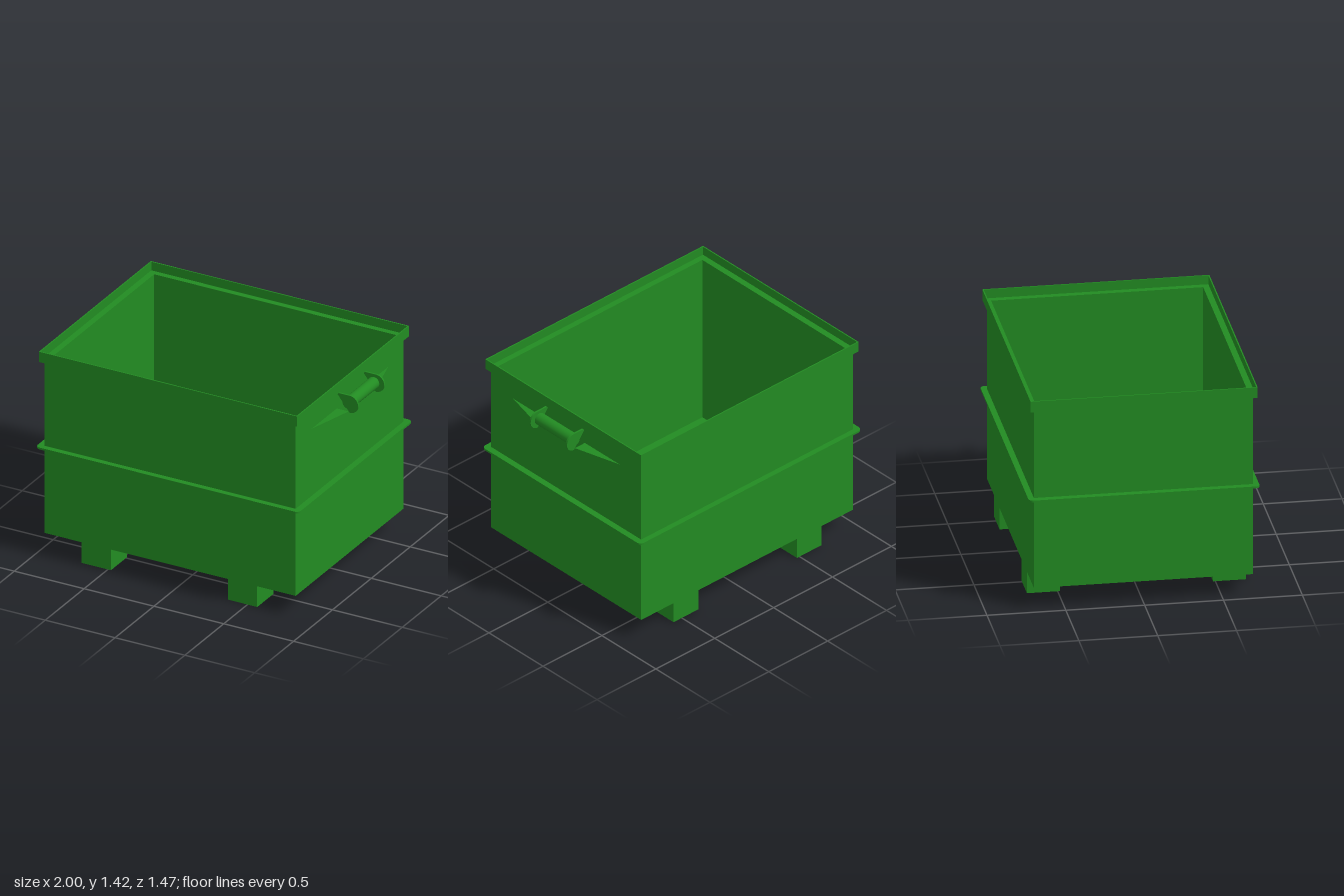
import * as THREE from 'three';

const green = new THREE.MeshStandardMaterial({ color: 0x228b22, side: THREE.DoubleSide });
const CX = -0.055; // centre of the tub, offset by the handle
const WALL_X = 0.845; // outer face of the handle-side wall

// Rectangle outline with optional rounded corners
function rect(path, w, d, r = 0) {
  const x = w / 2, y = d / 2;
  if (!r) {
    path.moveTo(-x, -y).lineTo(x, -y).lineTo(x, y).lineTo(-x, y).closePath();
    return path;
  }
  path.moveTo(-x + r, -y);
  path.absarc(x - r, -y + r, r, -Math.PI / 2, 0);
  path.absarc(x - r, y - r, r, 0, Math.PI / 2);
  path.absarc(-x + r, y - r, r, Math.PI / 2, Math.PI);
  path.absarc(-x + r, -y + r, r, Math.PI, Math.PI * 1.5);
  path.closePath();
  return path;
}

export function createModel() {
  const model = new THREE.Group();
  model.name = 'skipBin';

  function add(name, geometry, x, y, z, parent = model) {
    const mesh = new THREE.Mesh(geometry, green);
    mesh.name = name;
    mesh.position.set(x, y, z);
    parent.add(mesh);
    return mesh;
  }

  // Hollow rectangular frame, lying flat from y0 to y1
  function frame(name, w, d, innerW, innerD, y0, y1, r = 0) {
    const shape = rect(new THREE.Shape(), w, d, r);
    shape.holes.push(rect(new THREE.Path(), innerW, innerD));
    const geo = new THREE.ExtrudeGeometry(shape, { depth: y1 - y0, bevelEnabled: false, curveSegments: 6 });
    geo.rotateX(-Math.PI / 2);
    return add(name, geo, CX, y0, 0);
  }

  // Tub: walls, floor, turned-out ledge, upright rim and middle stiffener
  frame('walls', 1.8, 1.39, 1.75, 1.345, 0.145, 1.35);
  add('floor', new THREE.BoxGeometry(1.8, 0.02, 1.39), CX, 0.155, 0);
  frame('rimLedge', 1.85, 1.44, 1.75, 1.345, 1.348, 1.36);
  frame('rim', 1.85, 1.44, 1.834, 1.424, 1.348, 1.42);
  frame('stiffeningBand', 1.885, 1.465, 1.79, 1.38, 0.743, 0.756, 0.03);

  // Four square feet, flush with the front and back walls
  for (const x of [-0.583, 0.465]) {
    for (const z of [-0.59, 0.59]) {
      add('foot', new THREE.BoxGeometry(0.21, 0.145, 0.21), x, 0.0725, z);
    }
  }

  // Handle on the +x side
  const handle = new THREE.Group();
  handle.name = 'handle';
  handle.position.set(WALL_X, 1.28, -0.004);
  model.add(handle);

  const bar = new THREE.CylinderGeometry(0.04, 0.04, 0.335, 24);
  bar.rotateX(Math.PI / 2);
  add('handleBar', bar, 0.08, 0, 0, handle);

  // Round-ended bracket plate
  const plate = new THREE.Shape();
  plate.moveTo(0, -0.06);
  plate.absarc(0.095, 0, 0.06, -Math.PI / 2, Math.PI / 2);
  plate.lineTo(0, 0.06);
  plate.closePath();
  const bracket = new THREE.ExtrudeGeometry(plate, { depth: 0.012, bevelEnabled: false, curveSegments: 16 });

  // Tapered gusset lying flat against the wall
  const wedge = new THREE.Shape();
  wedge.moveTo(0, 0.17).lineTo(0.085, 0.17).lineTo(0, 0.495).closePath();

  for (const side of [-1, 1]) {
    add('handleBracket', bracket, 0, 0, side * 0.168 - 0.006, handle);
    const gusset = new THREE.ExtrudeGeometry(wedge, { depth: 0.006, bevelEnabled: false });
    gusset.rotateX(Math.PI / 2);
    if (side < 0) gusset.rotateX(Math.PI); // turned over to mirror it
    add('handleGusset', gusset, 0, side > 0 ? -0.054 : -0.06, 0, handle);
  }

  return model;
}
